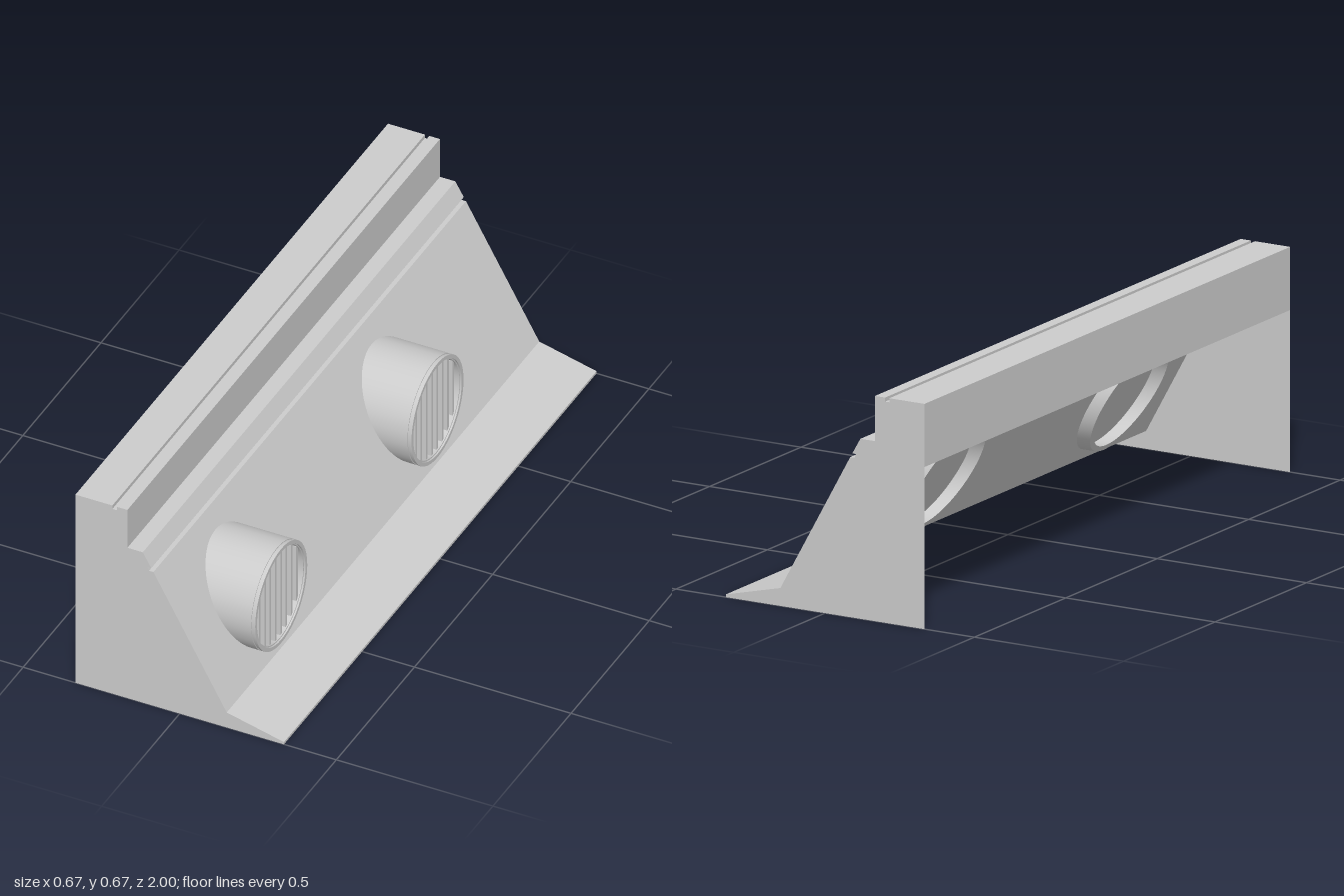
import * as THREE from 'three';
import { toCreasedNormals } from 'three/addons/utils/BufferGeometryUtils.js';

// The body is an open shell, so both sides of its sheets show
const grey = new THREE.MeshStandardMaterial({ color: 0xcccccc, side: THREE.DoubleSide });

const HALF = 1; // half length along z
const flange = [[0.333, 0], [0.333, 0.008], [0.15, 0.053]];
const wall = [
  [0.15, 0.053], [-0.084, 0.474], [-0.098, 0.474], [-0.103, 0.486], [-0.091, 0.486],
  [-0.118, 0.533], [-0.167, 0.533], [-0.167, 0.667], [-0.201, 0.667], [-0.201, 0.655],
  [-0.215, 0.655], [-0.215, 0.667], [-0.333, 0.667], [-0.333, 0.48],
];

// x of the sloping face at height y
const slopeX = (y) => 0.15 - (y - 0.053) * (0.234 / 0.421);

function addMesh(parent, name, geometry) {
  const mesh = new THREE.Mesh(geometry, grey);
  mesh.name = name;
  parent.add(mesh);
  return mesh;
}

// Sheet swept along z from an open profile
function sweep(profile) {
  const pos = [];
  for (let i = 0; i < profile.length - 1; i++) {
    const [a, b] = [profile[i], profile[i + 1]];
    pos.push(...a, HALF, ...a, -HALF, ...b, -HALF);
    pos.push(...a, HALF, ...b, -HALF, ...b, HALF);
  }
  const g = new THREE.BufferGeometry();
  g.setAttribute('position', new THREE.Float32BufferAttribute(pos, 3));
  g.computeVertexNormals();
  return g;
}

// Pipe with a grooved rim, its rear edge trimmed just behind the slope
function pipeGeometry(centreY) {
  const REAR = -1;
  const profile = [
    [0.151, REAR], [0.1667, REAR], [0.1667, 0.145], [0.164, 0.145], [0.164, 0.152],
    [0.1667, 0.152], [0.1667, 0.158], [0.155, 0.158], [0.155, 0.153], [0.151, 0.153],
    [0.151, REAR],
  ].map(([r, x]) => new THREE.Vector2(r, x));
  const g = new THREE.LatheGeometry(profile, 48);
  g.rotateZ(-Math.PI / 2);
  const p = g.attributes.position;
  for (let i = 0; i < p.count; i++) {
    if (p.getX(i) < -0.5) p.setX(i, slopeX(centreY + p.getY(i)) - 0.045);
  }
  return toCreasedNormals(g, 0.6);
}

export function createModel() {
  const model = new THREE.Group();
  model.name = 'barrier';

  // Body panels, open at the bottom and lower back
  addMesh(model, 'wallPanels', sweep(wall));
  addMesh(model, 'footFlange', sweep(flange));

  // End plates, each facing outward
  const outline = [...flange, ...wall.slice(1, -1), [-0.333, 0]];
  for (const side of [1, -1]) {
    const shape = new THREE.Shape(outline.map(([x, y]) => new THREE.Vector2(side * x, y)));
    const plate = addMesh(model, side > 0 ? 'frontEndPlate' : 'backEndPlate',
      new THREE.ShapeGeometry(shape));
    if (side < 0) plate.rotation.y = Math.PI;
    plate.position.z = side * HALF;
  }

  // Two drain pipes with vertical grille bars
  const centreY = 0.25;
  for (const z of [0.667, -0.333]) {
    const drain = new THREE.Group();
    drain.name = 'drain';
    drain.position.set(0, centreY, z);
    addMesh(drain, 'pipe', pipeGeometry(centreY));
    for (let i = 0; i < 8; i++) {
      const dz = (i - 3.5) * 0.034;
      const height = 2 * Math.sqrt(0.153 ** 2 - dz ** 2);
      const bar = addMesh(drain, 'grilleBar', new THREE.BoxGeometry(0.018, height, 0.01));
      bar.position.set(0.14, 0, dz);
    }
    model.add(drain);
  }
  return model;
}
